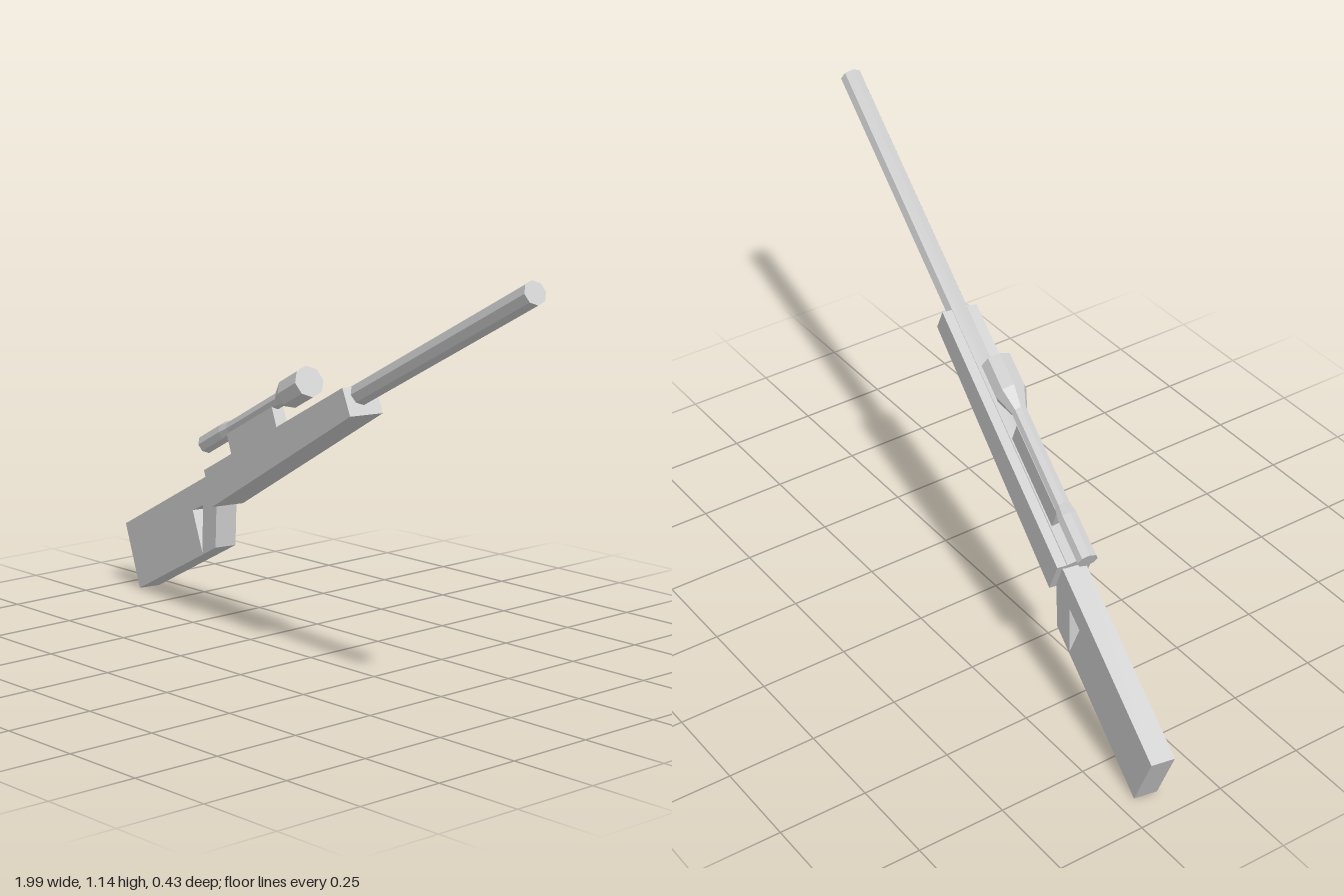
import * as THREE from 'three';

const material = new THREE.MeshStandardMaterial({ color: 0xcccccc, flatShading: true });

function addPart(parent, name, geometry) {
  const mesh = new THREE.Mesh(geometry, material);
  mesh.name = name;
  parent.add(mesh);
  return mesh;
}

// Flat side outline given a thickness, centred on z = 0
function slab(outline, width, hole) {
  const toPoints = (list) => list.map(([x, y]) => new THREE.Vector2(x, y));
  const shape = new THREE.Shape(toPoints(outline));
  if (hole) shape.holes.push(new THREE.Path(toPoints(hole)));
  const geometry = new THREE.ExtrudeGeometry(shape, { depth: width, bevelEnabled: false });
  return geometry.translate(0, 0, -width / 2);
}

// Eight-sided turned part along x; profile is a list of [x, radius]
function turned(profile, height) {
  const points = profile.map(([x, r]) => new THREE.Vector2(r, x));
  const geometry = new THREE.LatheGeometry(points, 8);
  return geometry.rotateZ(-Math.PI / 2).translate(0, height, 0);
}

export function createModel() {
  const model = new THREE.Group();
  model.name = 'rifle';

  // Everything is built level along x, then pitched up and turned forward
  const body = new THREE.Group();
  body.name = 'body';
  body.rotation.set(0, THREE.MathUtils.degToRad(-10.6), THREE.MathUtils.degToRad(25), 'YZX');
  model.add(body);

  // Stock with a triangular thumb hole and a slanted grip
  addPart(body, 'stock', slab(
    [[-0.84, 0.391], [-0.329, 0.391], [-0.265, 0.51], [-0.265, 0.591], [-0.84, 0.591]],
    0.065,
    [[-0.413, 0.523], [-0.347, 0.521], [-0.411, 0.395]],
  ));

  // Receiver, deeper at the rear
  addPart(body, 'receiver', slab(
    [[-0.265, 0.496], [0.55, 0.527], [0.545, 0.606], [-0.265, 0.604]], 0.1));

  // Barrel, running back through the receiver top
  addPart(body, 'barrel', turned(
    [[-0.266, 0], [-0.266, 0.031], [1.374, 0.031], [1.374, 0]], 0.585));

  // Scope: eyepiece, tube and flared front
  const scope = new THREE.Group();
  scope.name = 'scope';
  body.add(scope);
  addPart(scope, 'scopeTube', turned([
    [-0.305, 0], [-0.305, 0.028], [-0.175, 0.028], [-0.14, 0.022],
    [0.155, 0.022], [0.213, 0.044], [0.313, 0.044], [0.313, 0],
  ], 0.688));
  addPart(scope, 'scopeMount', new THREE.BoxGeometry(0.273, 0.08, 0.036)).position.set(-0.013, 0.635, 0);

  return model;
}
